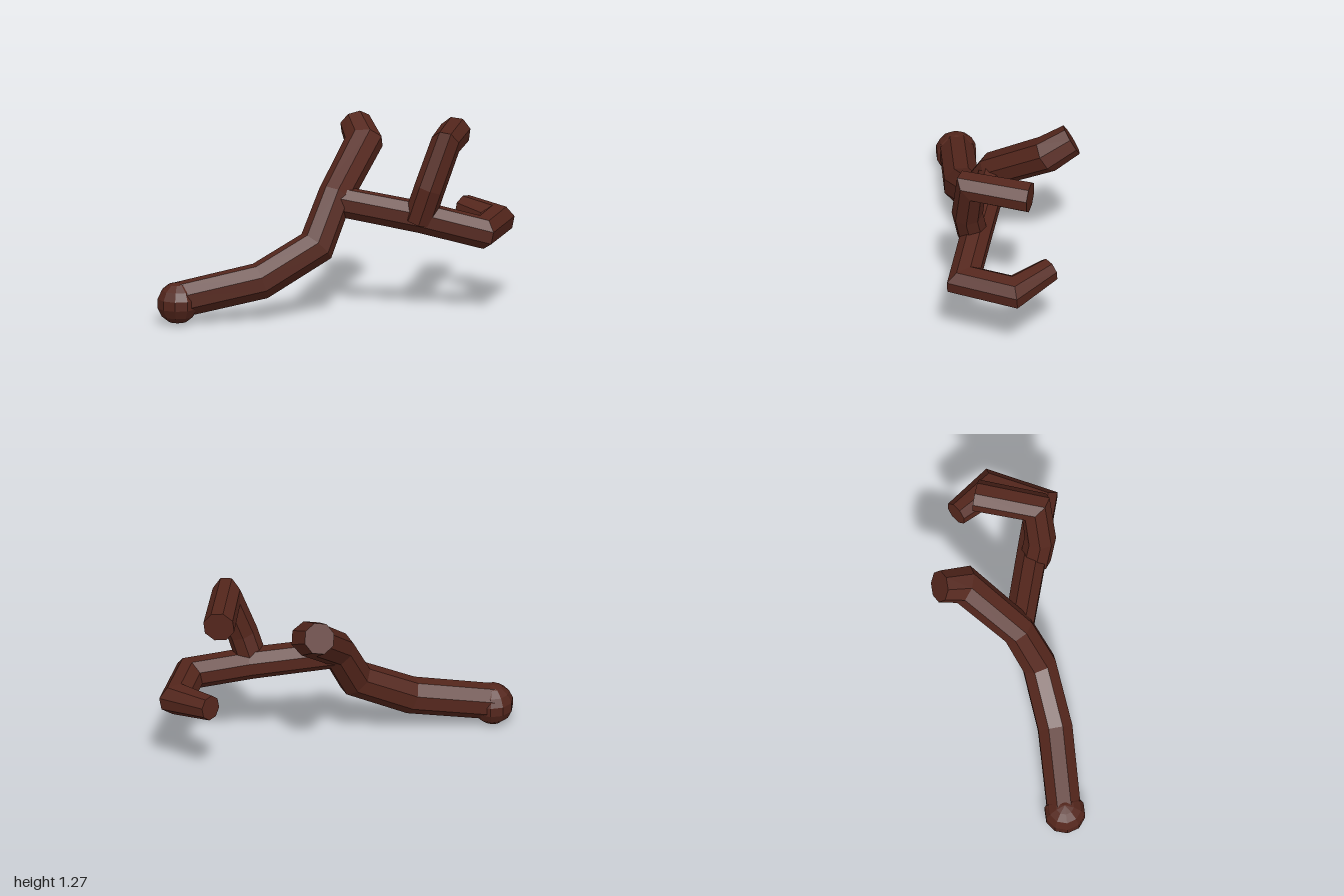
import * as THREE from 'three';

const SIDES = 8;
const V = (p) => new THREE.Vector3(p[0], p[1], p[2]);

// Faceted branch through [x, y, z, radius] points, with mitred joints and flat end caps
function branchGeometry(path) {
  const pts = path.map(V);
  const dirs = pts.slice(1).map((p, i) => p.clone().sub(pts[i]).normalize());
  const u = new THREE.Vector3(0, 1, 0);
  u.addScaledVector(dirs[0], -u.dot(dirs[0])).normalize();
  const pos = [], idx = [];

  pts.forEach((p, k) => {
    const d = dirs[Math.max(k - 1, 0)];
    const next = dirs[Math.min(k, dirs.length - 1)];
    const n = d.clone().add(next).normalize();
    const v = d.clone().cross(u);
    for (let i = 0; i < SIDES; i++) {
      const a = ((i + 0.5) / SIDES) * Math.PI * 2;
      const o = u.clone().multiplyScalar(Math.cos(a)).addScaledVector(v, Math.sin(a));
      o.multiplyScalar(path[k][3]);
      o.addScaledVector(d, -o.dot(n) / d.dot(n)); // slide onto the mitre plane
      pos.push(p.x + o.x, p.y + o.y, p.z + o.z);
    }
    // carry the frame round the bend
    u.applyQuaternion(new THREE.Quaternion().setFromUnitVectors(d, next));
  });

  for (let k = 0; k < pts.length - 1; k++) {
    for (let i = 0; i < SIDES; i++) {
      const j = (i + 1) % SIDES, a = k * SIDES, b = a + SIDES;
      idx.push(a + i, a + j, b + j, a + i, b + j, b + i);
    }
  }
  const last = (pts.length - 1) * SIDES;
  for (let i = 1; i < SIDES - 1; i++) {
    idx.push(0, i + 1, i, last, last + i, last + i + 1);
  }

  const geo = new THREE.BufferGeometry();
  geo.setAttribute('position', new THREE.Float32BufferAttribute(pos, 3));
  geo.setIndex(idx);
  const flat = geo.toNonIndexed();
  flat.computeVertexNormals();
  return flat;
}

export function createModel() {
  const group = new THREE.Group();
  const bark = new THREE.MeshStandardMaterial({ color: 0x54261c, flatShading: true });
  const add = (name, geo) => {
    const mesh = new THREE.Mesh(geo, bark);
    mesh.name = name;
    group.add(mesh);
    return mesh;
  };

  // Long limb rising from the knob to the upper tip
  add('mainLimb', branchGeometry([
    [-0.86, 0.16, 0.75, 0.122],
    [-0.40, 0.27, 0.43, 0.125],
    [-0.115, 0.48, 0.15, 0.122],
    [-0.065, 0.79, -0.04, 0.118],
    [-0.05, 1.08, -0.46, 0.125],
    [-0.17, 1.17, -0.58, 0.11],
  ]));

  // Side limb hooking round at the back
  add('sideLimb', branchGeometry([
    [-0.05, 0.76, -0.04, 0.105],
    [0.48, 0.66, -0.23, 0.108],
    [0.87, 0.565, -0.37, 0.108],
    [0.81, 0.565, -0.73, 0.11],
    [0.52, 0.61, -0.83, 0.085],
  ]));

  // Upright offshoot bending backwards
  add('upperOffshoot', branchGeometry([
    [0.48, 0.64, -0.2, 0.105],
    [0.56, 0.87, -0.205, 0.105],
    [0.64, 1.165, -0.285, 0.103],
    [0.525, 1.155, -0.68, 0.108],
  ]));

  // Rounded knob at the low end
  const knob = add('endKnob', new THREE.SphereGeometry(0.142, 10, 7));
  knob.position.set(-0.86, 0.142, 0.755);

  return group;
}
